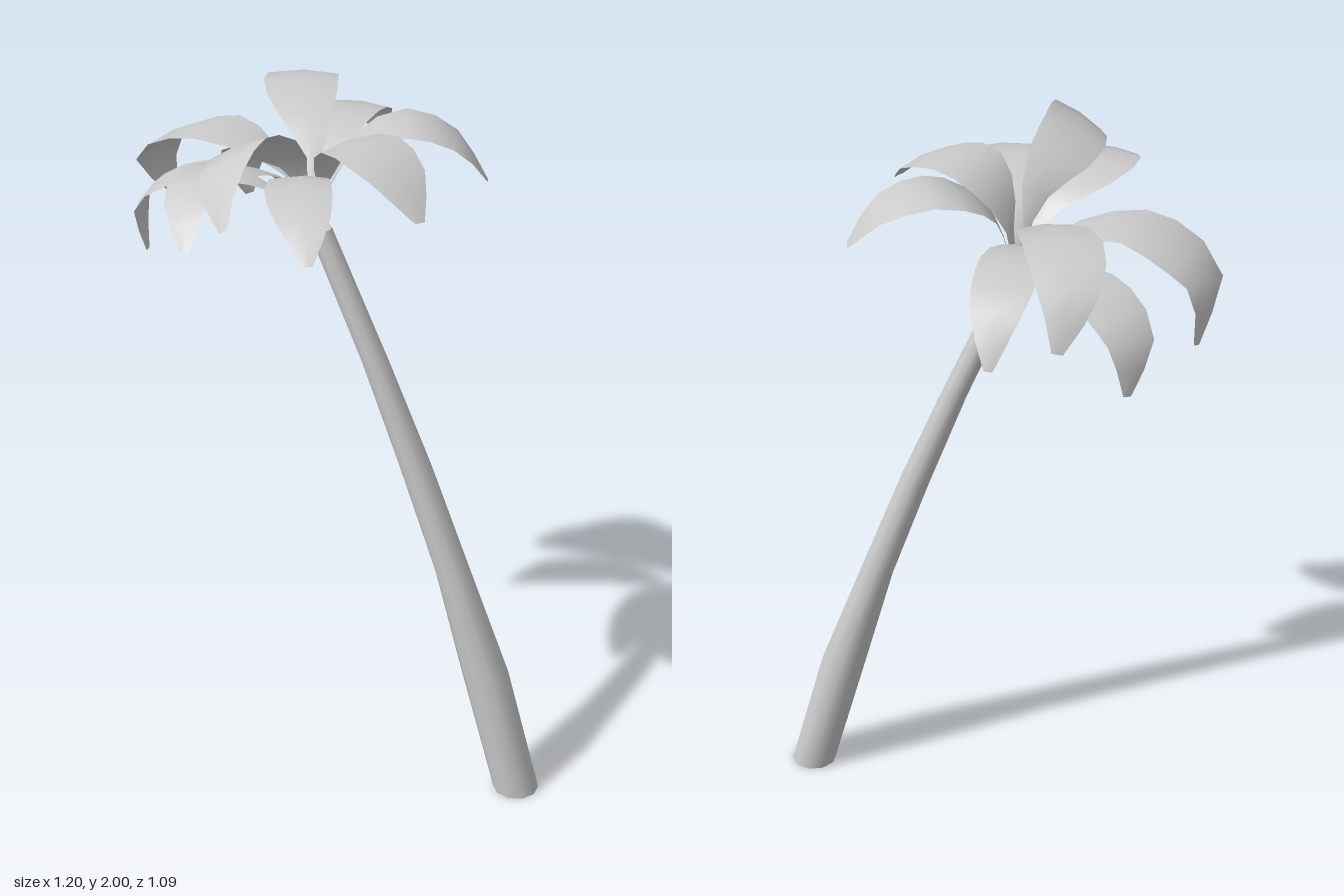
import * as THREE from 'three';
import { toCreasedNormals } from 'three/addons/utils/BufferGeometryUtils.js';

const CROWN = new THREE.Vector3(-0.065, 1.64, 0.01);

// Leaning trunk, from the ground up: [centre x, y, radius]
const TRUNK = [
  [0.537, 0, 0.064], [0.435, 0.37, 0.065], [0.337, 0.67, 0.049],
  [0.22, 0.99, 0.044], [0.105, 1.28, 0.037], [-0.055, 1.65, 0.033],
];

// Share of the full half width along a frond: thin stalk, broad blade, blunt tip
const BLADE = [0.08, 0.09, 0.14, 0.42, 0.72, 0.93, 1, 0.96, 0.8, 0.5, 0.14];

function trunkGeometry() {
  const rows = TRUNK.length - 1;
  const geo = new THREE.CylinderGeometry(1, 1, 1, 10, rows);
  const p = geo.attributes.position;
  for (let i = 0; i < p.count; i++) {
    const [cx, y, r] = TRUNK[Math.round((p.getY(i) + 0.5) * rows)];
    p.setXYZ(i, cx + p.getX(i) * r, y, 0.015 + p.getZ(i) * r);
  }
  return toCreasedNormals(geo, 0.8);
}

// A frond rises steeply from the crown, arches over its top and droops past the bend to its tip
function frondGeometry(halfWidth, top, bend, tip, roll = 0) {
  const [topPoint, bendPoint, tipPoint] = [top, bend, tip].map((a) => new THREE.Vector3(...a));
  const rise = CROWN.clone().lerp(topPoint, 0.36);
  rise.y = THREE.MathUtils.lerp(CROWN.y, topPoint.y, 0.74);
  const curve = new THREE.CatmullRomCurve3([CROWN, rise, topPoint, bendPoint, tipPoint], false, 'centripetal');
  const heading = tipPoint.clone().sub(CROWN).setY(0).normalize();
  const rows = BLADE.length - 1;
  const pos = [], index = [];
  for (let i = 0; i <= rows; i++) {
    const point = curve.getPointAt(i / rows);
    const tangent = curve.getTangentAt(i / rows);
    // Across the blade: level and square to the heading, then rolled about the midrib
    const side = new THREE.Vector3(heading.z, 0, -heading.x);
    side.addScaledVector(tangent, -side.dot(tangent)).normalize().applyAxisAngle(tangent, roll);
    const up = new THREE.Vector3().crossVectors(tangent, side);
    const half = halfWidth * BLADE[i];
    for (const s of [-1, 0, 1]) {
      const v = point.clone().addScaledVector(side, s * half);
      v.addScaledVector(up, (s === 0 ? 0.05 : -0.05) * half);
      pos.push(v.x, v.y, v.z);
    }
    if (i === rows) break;
    for (const k of [0, 1]) {
      const a = i * 3 + k;
      index.push(a, a + 3, a + 1, a + 1, a + 3, a + 4);
    }
  }
  const geo = new THREE.BufferGeometry();
  geo.setAttribute('position', new THREE.Float32BufferAttribute(pos, 3));
  geo.setIndex(index);
  geo.computeVertexNormals();
  return geo;
}

export function createModel() {
  const model = new THREE.Group();
  model.name = 'palmTree';

  const trunk = new THREE.Mesh(trunkGeometry(), new THREE.MeshStandardMaterial({ color: 0xcccccc }));
  trunk.name = 'trunk';
  model.add(trunk);

  const crown = new THREE.Group();
  crown.name = 'crown';
  model.add(crown);
  const leafMaterial = new THREE.MeshStandardMaterial({ color: 0xcccccc, side: THREE.DoubleSide });
  const addFrond = (name, ...shape) => {
    const frond = new THREE.Mesh(frondGeometry(...shape), leafMaterial);
    frond.name = name;
    crown.add(frond);
  };

  // Each frond: half width, top of the arch, bend, tip and roll
  addFrond('leftBackFrond', 0.1, [0.13, 1.93, -0.1], [0.27, 1.885, -0.14], [0.35, 1.78, -0.15]);
  addFrond('leftFrontFrond', 0.105, [0.07, 1.94, 0.08], [0.2, 1.91, 0.15], [0.295, 1.81, 0.22]);
  addFrond('frontLeftFrond', 0.085, [-0.02, 1.88, 0.25], [0.05, 1.845, 0.39], [0.095, 1.77, 0.475]);
  addFrond('frontUpperFrond', 0.09, [-0.175, 1.96, 0.26], [-0.155, 1.935, 0.43], [-0.1, 1.86, 0.54], 0.5);
  addFrond('frontRightFrond', 0.08, [-0.255, 1.88, 0.26], [-0.255, 1.85, 0.41], [-0.22, 1.77, 0.505]);
  addFrond('rightLowerFrond', 0.075, [-0.38, 1.78, 0.055], [-0.54, 1.68, 0.06], [-0.535, 1.52, 0.05]);
  addFrond('rightUpperFrond', 0.105, [-0.38, 1.86, -0.06], [-0.57, 1.75, -0.12], [-0.56, 1.595, -0.18]);
  addFrond('backRightLowerFrond', 0.085, [-0.29, 1.76, -0.21], [-0.41, 1.67, -0.32], [-0.41, 1.53, -0.36]);
  addFrond('backRightUpperFrond', 0.1, [-0.23, 1.92, -0.3], [-0.275, 1.855, -0.48], [-0.26, 1.735, -0.545]);
  addFrond('backFrond', 0.08, [-0.1, 1.85, -0.31], [-0.095, 1.785, -0.49], [-0.09, 1.67, -0.545]);
  return model;
}
